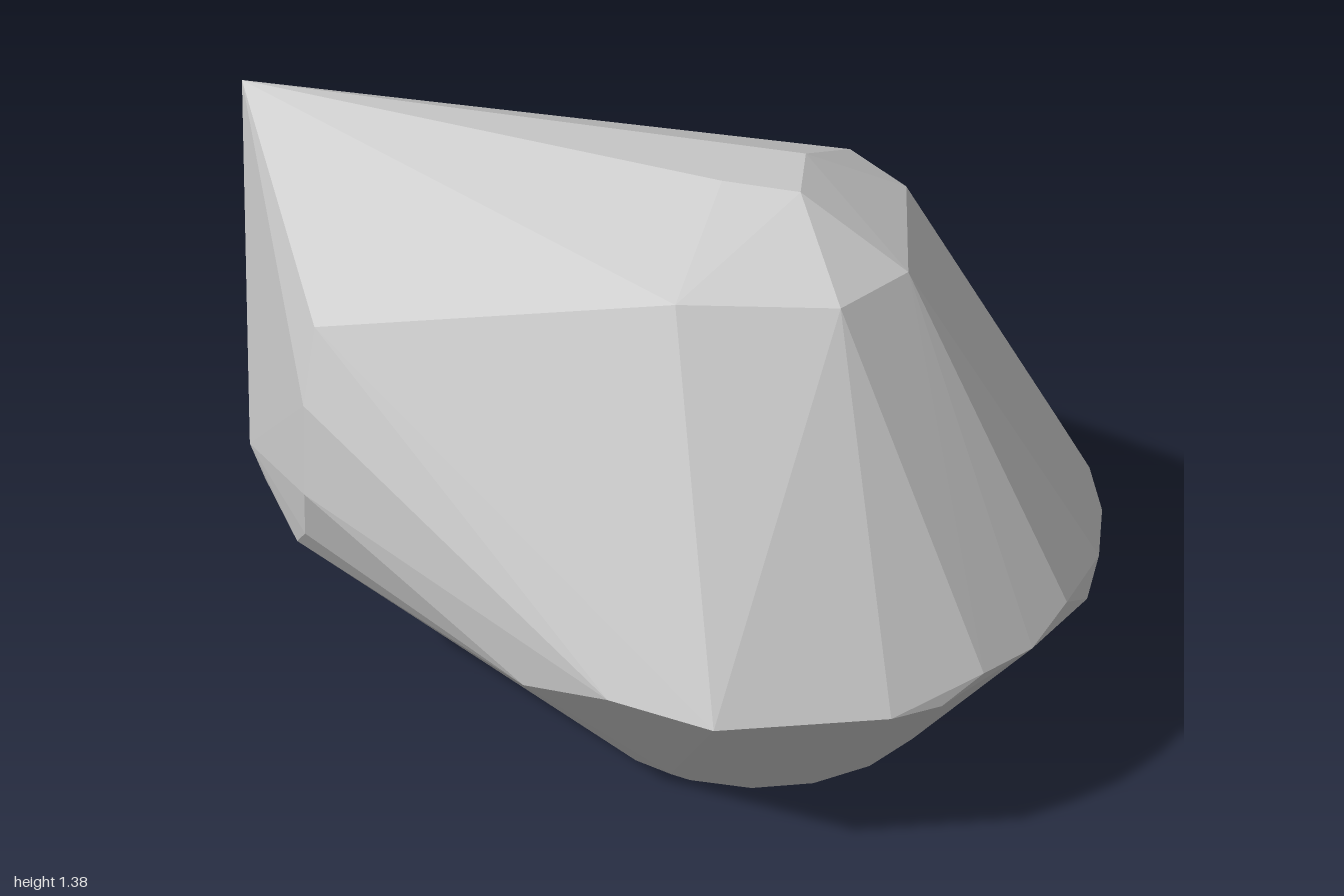
import * as THREE from 'three';
import { ConvexGeometry } from 'three/addons/geometries/ConvexGeometry.js';

// Faceted boulder: the hull of a crown, a girdle, a flat split back and a rounded foot.
const crown = [
  [-0.98, 1.34, -0.5], // peak
  [0.12, 1.375, -0.05], [0.29, 1.375, -0.01], [0.3, 1.375, -0.17],
  [0.03, 1.24, 0.235], [0.38, 1.24, 0.235], [0.525, 1.235, 0.08],
  [0.525, 1.235, -0.27], [0.4, 1.25, -0.4], [0.23, 1.06, -0.66],
];

// Widest line, running from the back right round the front
const girdle = [
  [0.78, 0.487, -0.64], [0.85, 0.477, -0.55], [0.91, 0.495, -0.45],
  [0.98, 0.477, -0.27], [1, 0.48, -0.1], [0.985, 0.47, 0.06],
  [0.955, 0.43, 0.17], [0.9, 0.505, 0.28], [0.82, 0.475, 0.41],
  [0.71, 0.49, 0.52], [0.62, 0.445, 0.58], [0.51, 0.455, 0.64],
  [0.13, 0.455, 0.695], [-0.1, 0.48, 0.63], [-0.29, 0.43, 0.525],
];

// Blunt end below the peak
const bluntEnd = [
  [-0.755, 1.1, 0.14], [-0.78, 0.94, 0.21], [-0.785, 0.73, 0.25],
  [-0.8, 0.57, 0.18], [-0.84, 0.45, 0.05], [-0.95, 0.42, -0.23],
  [-0.98, 0.52, -0.23], [-0.97, 0.5, -0.53], [-1, 0.75, -0.53],
];

// Flat split face, all in one plane
const back = [
  [0.58, 0.7], [0.04, 1.04], [-0.57, 0.95],
  [-0.64, 0.21], [-0.37, 0.23], [0.16, 0.23],
].map(([x, y]) => [x, y, -0.695]);

// Foot: uneven corners above a round, slightly domed underside
const ringPoint = (angle, radius, y) =>
  [0.21 + radius * Math.cos(angle), y, -0.09 + radius * Math.sin(angle)];
const foot = [5, 55, 113, 165, 215, 271, 302, 329]
  .map((deg) => ringPoint(THREE.MathUtils.degToRad(deg), 0.47, 0.03));
for (const [radius, y] of [[0.455, 0.014], [0.32, 0]]) {
  for (let i = 0; i < 20; i++) foot.push(ringPoint((i / 20) * Math.PI * 2, radius, y));
}

export function createModel() {
  const stone = new THREE.MeshStandardMaterial({ color: 0xc6c6c6, flatShading: true });
  stone.name = 'light grey stone';

  const points = [...crown, ...girdle, ...bluntEnd, ...back, ...foot]
    .map((p) => new THREE.Vector3(...p));
  const rock = new THREE.Mesh(new ConvexGeometry(points), stone);
  rock.name = 'rock';

  const group = new THREE.Group();
  group.name = 'boulder';
  group.add(rock);
  return group;
}
